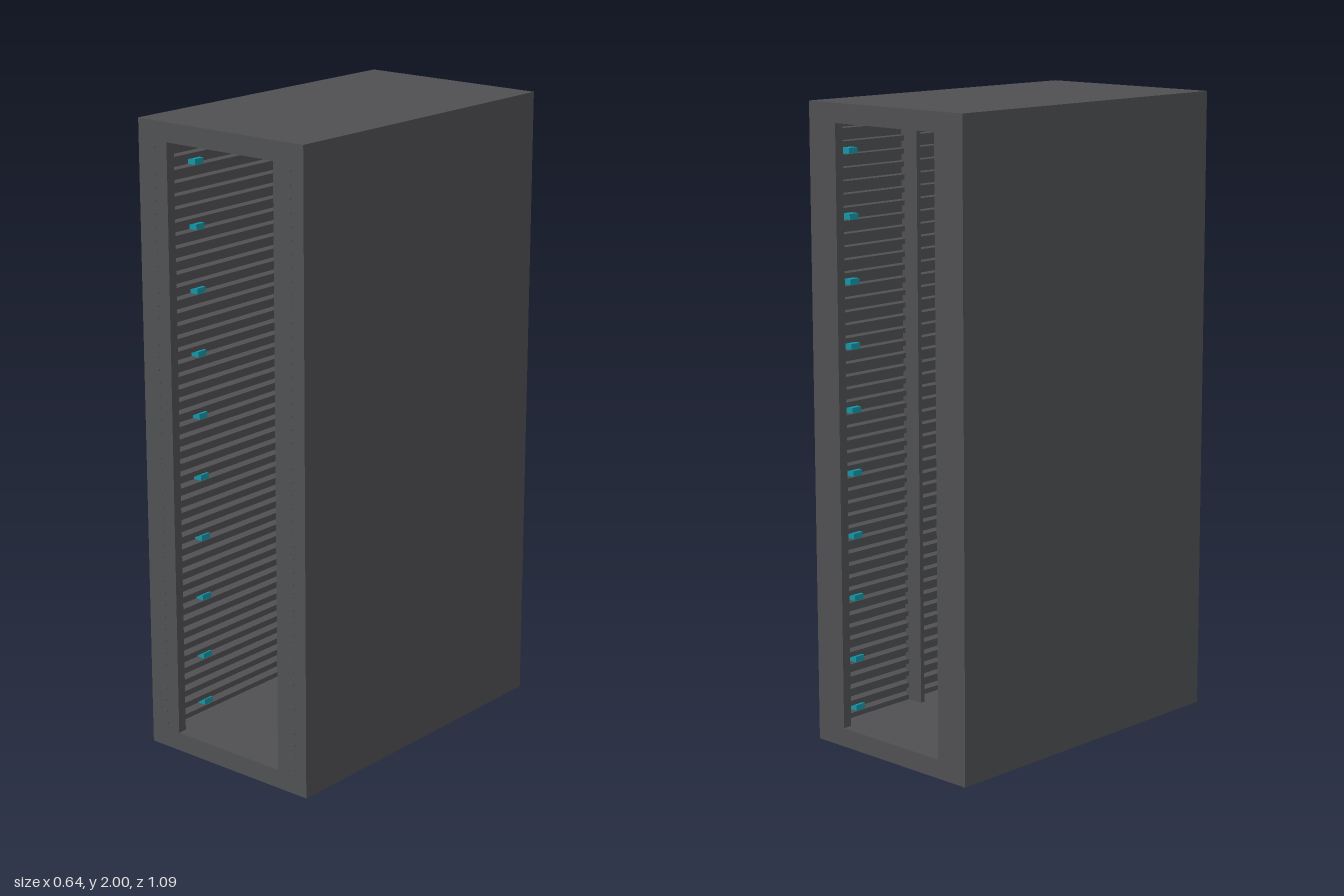
import * as THREE from 'three';

const W = 0.32;        // half width
const H = 2;           // height
const ZB = -0.547;     // back plane
const ZF = 0.545;      // front plane
const OPEN = 0.207;    // half width of the door openings
const SLAB = 0.06;     // thickness of floor and ceiling
const WALL = 0.025;    // thickness of the side panels
const FRAME = 0.03;    // thickness of the front and back frames
const UNITS = 47;
const PITCH = (H - 2 * SLAB) / UNITS;

export function createModel() {
  const model = new THREE.Group();
  model.name = 'serverRack';
  const steel = new THREE.MeshStandardMaterial({ color: 0x505154 });
  const teal = new THREE.MeshStandardMaterial({ color: 0x1496a6 });

  // box given by its lower and upper corners
  function box(parent, name, [x0, y0, z0], [x1, y1, z1], material = steel) {
    const mesh = new THREE.Mesh(new THREE.BoxGeometry(x1 - x0, y1 - y0, z1 - z0), material);
    mesh.position.set((x0 + x1) / 2, (y0 + y1) / 2, (z0 + z1) / 2);
    mesh.name = name;
    parent.add(mesh);
  }

  // the same box on both sides of x = 0
  function pair(parent, name, [x0, y0, z0], [x1, y1, z1], material) {
    box(parent, name + 'Left', [x0, y0, z0], [x1, y1, z1], material);
    box(parent, name + 'Right', [-x1, y0, z0], [-x0, y1, z1], material);
  }

  function group(name) {
    const g = new THREE.Group();
    g.name = name;
    model.add(g);
    return g;
  }

  // front and back frames, each one plate with a tall opening
  function frame(name, z) {
    const plate = new THREE.Shape([
      new THREE.Vector2(-W, 0), new THREE.Vector2(W, 0),
      new THREE.Vector2(W, H), new THREE.Vector2(-W, H),
    ]);
    plate.holes.push(new THREE.Path([
      new THREE.Vector2(-OPEN, SLAB), new THREE.Vector2(-OPEN, H - SLAB),
      new THREE.Vector2(OPEN, H - SLAB), new THREE.Vector2(OPEN, SLAB),
    ]));
    const geometry = new THREE.ExtrudeGeometry(plate, { depth: FRAME, bevelEnabled: false });
    const mesh = new THREE.Mesh(geometry, steel);
    mesh.position.z = z;
    mesh.name = name;
    model.add(mesh);
  }
  frame('frontFrame', ZF - FRAME);
  frame('backFrame', ZB);

  // cabinet shell between the frames
  const z0 = ZB + FRAME, z1 = ZF - FRAME;
  box(model, 'floor', [-W, 0, z0], [W, SLAB, z1]);
  box(model, 'ceiling', [-W, H - SLAB, z0], [W, H, z1]);
  pair(model, 'sidePanel', [W - WALL, SLAB, z0], [W, H - SLAB, z1]);

  // upright rear mounting posts
  pair(model, 'rearPost', [OPEN, SLAB, -0.21], [0.274, H - SLAB, -0.195]);

  // one side rail and one front mark per rack unit
  const rails = group('sideRails');
  const marks = group('unitMarks');
  const lights = group('statusLights');
  for (let i = 0; i < UNITS; i++) {
    const y = SLAB + i * PITCH;
    const mid = y + PITCH / 2;
    pair(rails, 'rail', [0.262, y, z0], [W - WALL, y + 0.016, z1]);
    pair(marks, 'mark', [0.254, mid - 0.003, ZF], [0.274, mid + 0.003, ZF + 0.002]);

    // lights on unit 1 and every fifth unit
    if (i === 0 || (i + 1) % 5 === 0) {
      for (const z of [0.345, -0.42]) {
        pair(lights, 'light', [0.266, y + 0.016, z - 0.018], [W - WALL, y + 0.034, z + 0.018], teal);
      }
    }
  }
  return model;
}
